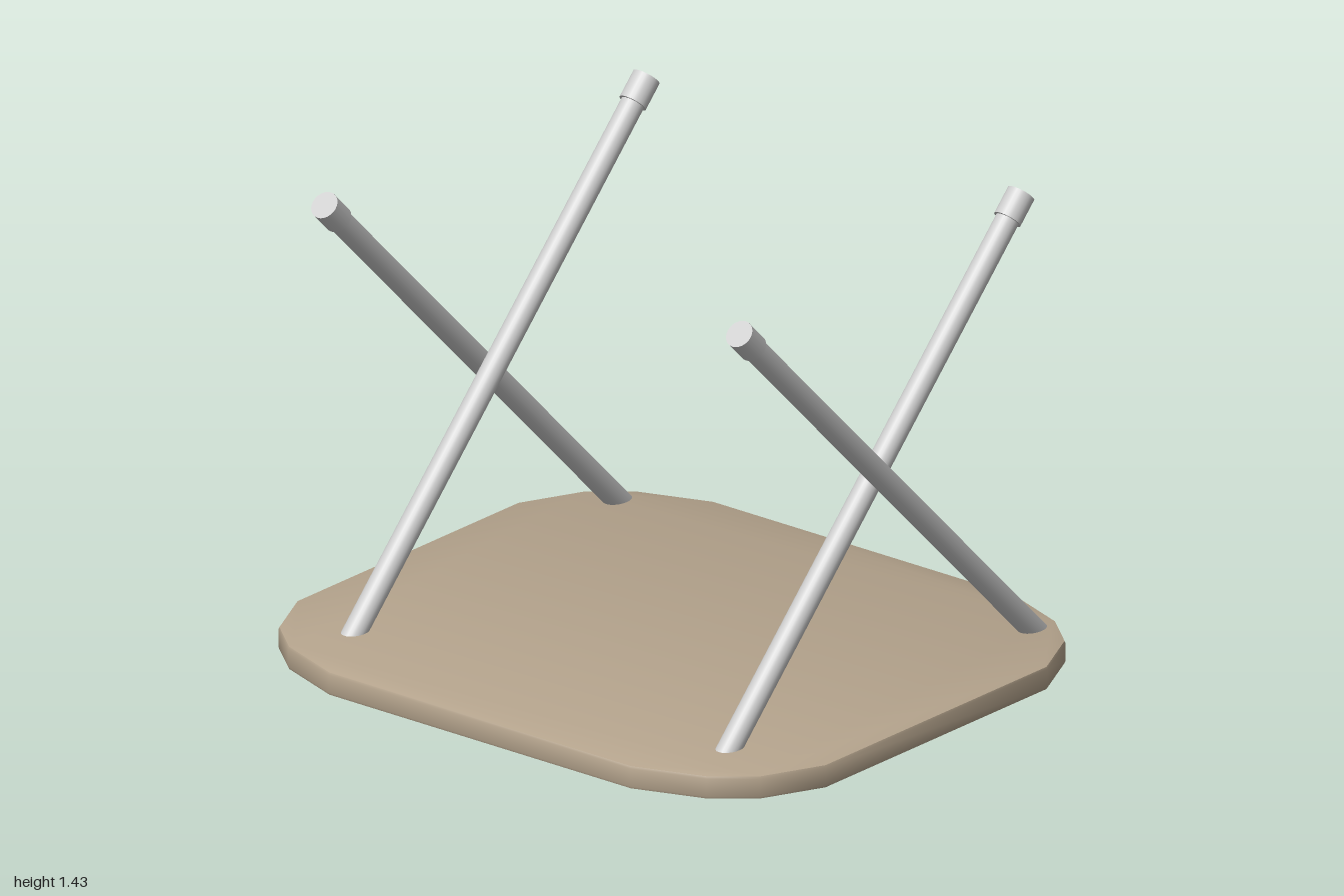
import * as THREE from 'three';
import { toCreasedNormals } from 'three/addons/utils/BufferGeometryUtils.js';

const wood = new THREE.MeshStandardMaterial({ color: 0xb5a48d });
const metal = new THREE.MeshStandardMaterial({ color: 0xcccccc });

// Tabletop: faceted-corner outline with a small eased edge
function makeTabletop() {
  const bevel = 0.01, height = 0.075;
  const quarter = [[0.87, 0.57], [0.79, 0.79], [0.69, 0.91], [0.5, 1]];
  const mirrorX = (pts) => pts.map(([x, y]) => [-x, y]).reverse();
  const half = [...quarter, ...mirrorX(quarter)];
  const outline = [...half, ...half.map(([x, y]) => [-x, -y])];
  const shape = new THREE.Shape(outline.map(([x, y]) => new THREE.Vector2(x, y)));
  const geometry = new THREE.ExtrudeGeometry(shape, {
    depth: height - 2 * bevel, bevelEnabled: true, bevelThickness: bevel,
    bevelSize: bevel, bevelOffset: -bevel, bevelSegments: 2,
  });
  geometry.rotateX(-Math.PI / 2).translate(0, bevel, 0);
  const mesh = new THREE.Mesh(toCreasedNormals(geometry, 0.6), wood);
  mesh.name = 'tabletop';
  return mesh;
}

// Leg: slanted tube from the tabletop to a foot cap at its free end
function makeLeg(name, start, end) {
  const leg = new THREE.Group();
  leg.name = name;
  const length = start.distanceTo(end);
  const capLength = 0.088;
  const tube = new THREE.Mesh(new THREE.CylinderGeometry(0.036, 0.036, length - 0.01, 24), metal);
  tube.name = 'legTube';
  tube.position.y = (length - 0.01) / 2;
  const cap = new THREE.Mesh(new THREE.CylinderGeometry(0.043, 0.043, capLength, 24), metal);
  cap.name = 'footCap';
  cap.position.y = length - capLength / 2;
  leg.add(tube, cap);
  leg.position.copy(start);
  leg.quaternion.setFromUnitVectors(
    new THREE.Vector3(0, 1, 0), end.clone().sub(start).normalize());
  return leg;
}

export function createModel() {
  const model = new THREE.Group();
  model.name = 'foldingTable';
  model.add(makeTabletop());

  // Two crossed leg pairs, the second shifted along z
  for (const [label, z] of [['front', 0.7], ['back', -0.715]]) {
    const pair = new THREE.Group();
    pair.name = label + 'LegPair';
    pair.position.z = z;
    pair.add(
      makeLeg('innerLeg', new THREE.Vector3(-0.6, 0.05, 0), new THREE.Vector3(0.74, 1.4, 0)),
      makeLeg('outerLeg', new THREE.Vector3(0.725, 0.05, 0), new THREE.Vector3(-0.625, 1.4, 0)));
    pair.children[1].position.z = label === 'front' ? 0.076 : -0.076;
    model.add(pair);
  }
  return model;
}
